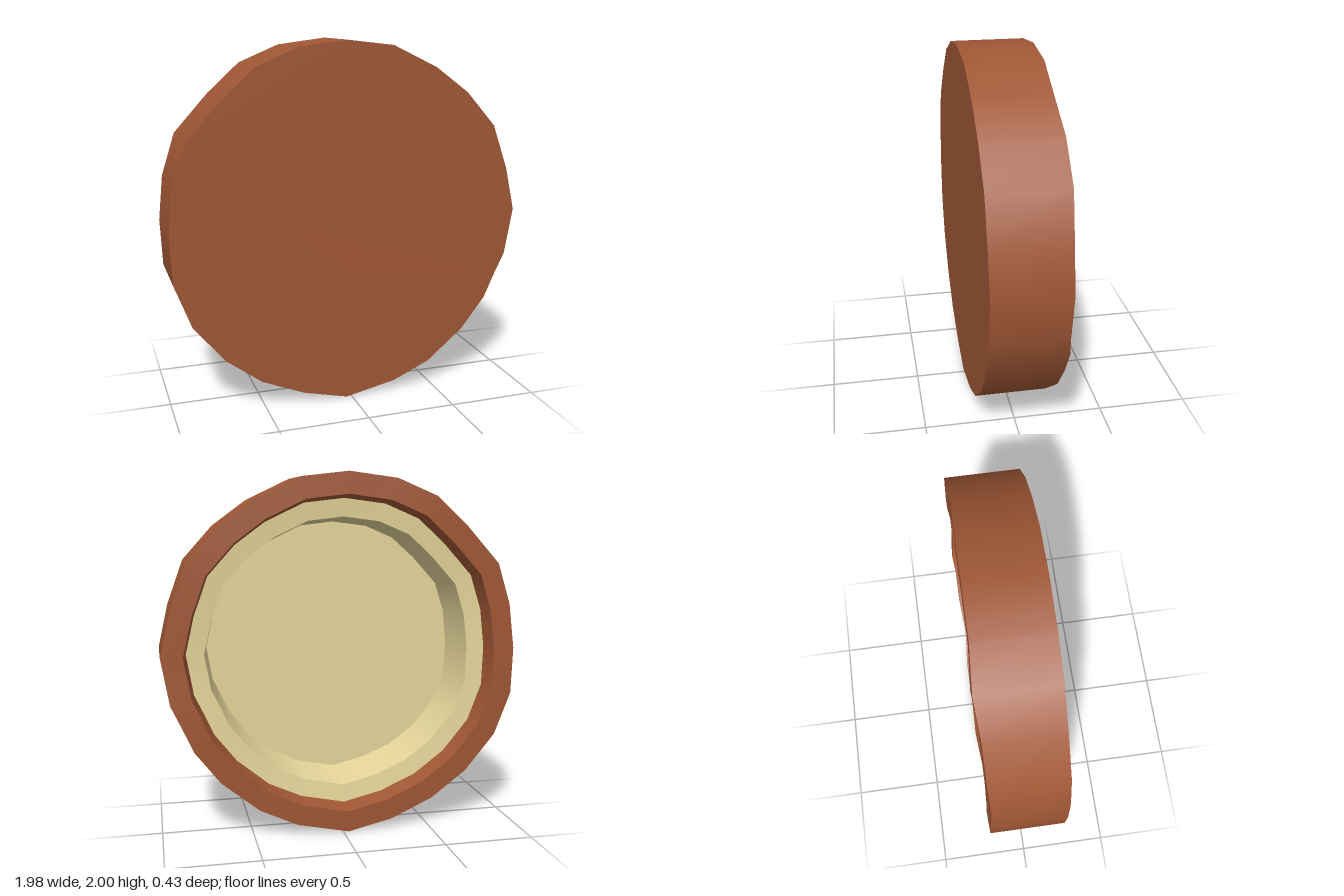
import * as THREE from 'three';

const brown = new THREE.MeshStandardMaterial({ color: 0xa05735 });
const cream = new THREE.MeshStandardMaterial({ color: 0xe5d59a });

// Uneven outline, clockwise from the top
const outline = [
  [-0.03, 2.0], [0.23, 1.97], [0.48, 1.85], [0.67, 1.71], [0.84, 1.52], [0.93, 1.27],
  [0.985, 1.03], [0.94, 0.77], [0.88, 0.645], [0.82, 0.51], [0.68, 0.33], [0.47, 0.155],
  [0.26, 0.062], [-0.03, 0], [-0.28, 0.06], [-0.52, 0.16], [-0.72, 0.31], [-0.89, 0.52],
  [-0.98, 0.76], [-0.99, 1.02], [-0.965, 1.27], [-0.89, 1.5], [-0.7, 1.71], [-0.52, 1.87],
  [-0.3, 1.965],
];
const count = outline.length;

// Profile from front edge over the rim to the floor: scale, z, waviness
const profile = [
  [1, 0.215, 0], [1, -0.195, 0.013], [0.88, -0.2, 0.013],
  [0.86, -0.09, 0.008], [0.76, -0.08, 0.008], [0.73, 0.2, 0],
];

// Points where the cracks meet
const crackA = [-0.4, 1.06];
const crackB = [-0.02, 0.72];

// Pieces: run along the outline, then the crack points that close them
const pieces = [
  { name: 'upperShard', from: 20, to: 30, cracks: [crackA] },
  { name: 'rightShard', from: 5, to: 8, cracks: [crackB, crackA] },
  { name: 'lowerShard', from: 8, to: 12, cracks: [crackB] },
  { name: 'leftShard', from: 12, to: 20, cracks: [crackA, crackB] },
];

function ringPoint(i, k) {
  const j = (i + count) % count;
  const [scale, z, wave] = profile[k];
  const [x, y] = outline[j];
  const wobble = wave * (0.6 * Math.sin(j * 1.3) + 0.4 * Math.sin(j * 2.9 + 1));
  return new THREE.Vector3(x * scale, 1 + (y - 1) * scale, z + wobble);
}

// One strip of wall between two neighbouring profile rings, smooth around the ring
function band(from, to, k) {
  const positions = [], normals = [], index = [];
  for (let i = from; i <= to; i++) {
    const a = ringPoint(i, k), b = ringPoint(i, k + 1);
    const along = ringPoint(i + 1, k).sub(ringPoint(i - 1, k));
    const normal = along.cross(b.clone().sub(a)).normalize();
    positions.push(...a, ...b);
    normals.push(...normal, ...normal);
    if (i < to) {
      const n = (i - from) * 2;
      index.push(n, n + 2, n + 1, n + 1, n + 2, n + 3);
    }
  }
  const geometry = new THREE.BufferGeometry();
  geometry.setAttribute('position', new THREE.Float32BufferAttribute(positions, 3));
  geometry.setAttribute('normal', new THREE.Float32BufferAttribute(normals, 3));
  geometry.setIndex(index);
  return geometry;
}

// Flat face of a piece, on profile ring k
function face({ from, to, cracks }, k, facesBack) {
  const points = cracks.map(([x, y]) => new THREE.Vector2(x, y));
  const arc = [];
  for (let i = from; i <= to; i++) {
    const p = ringPoint(i, k);
    arc.push(new THREE.Vector2(p.x, p.y));
  }
  const geometry = new THREE.ShapeGeometry(new THREE.Shape([...arc, ...points]));
  geometry.translate(0, 0, profile[k][1]);
  if (facesBack) {
    geometry.index.array.reverse();
    geometry.computeVertexNormals();
  }
  return geometry;
}

export function createModel() {
  const model = new THREE.Group();
  model.name = 'crackedDish';
  const bandNames = ['outerWall', 'rim', 'rimInnerWall', 'ledge', 'innerWall'];

  for (const piece of pieces) {
    const shard = new THREE.Group();
    shard.name = piece.name;
    const add = (name, geometry, material) => {
      const mesh = new THREE.Mesh(geometry, material);
      mesh.name = name;
      shard.add(mesh);
    };
    // Brown shell and cream lining
    add('frontFace', face(piece, 0, false), brown);
    bandNames.forEach((name, k) => add(name, band(piece.from, piece.to, k), k < 3 ? brown : cream));
    add('floor', face(piece, profile.length - 1, true), cream);
    model.add(shard);
  }
  return model;
}
